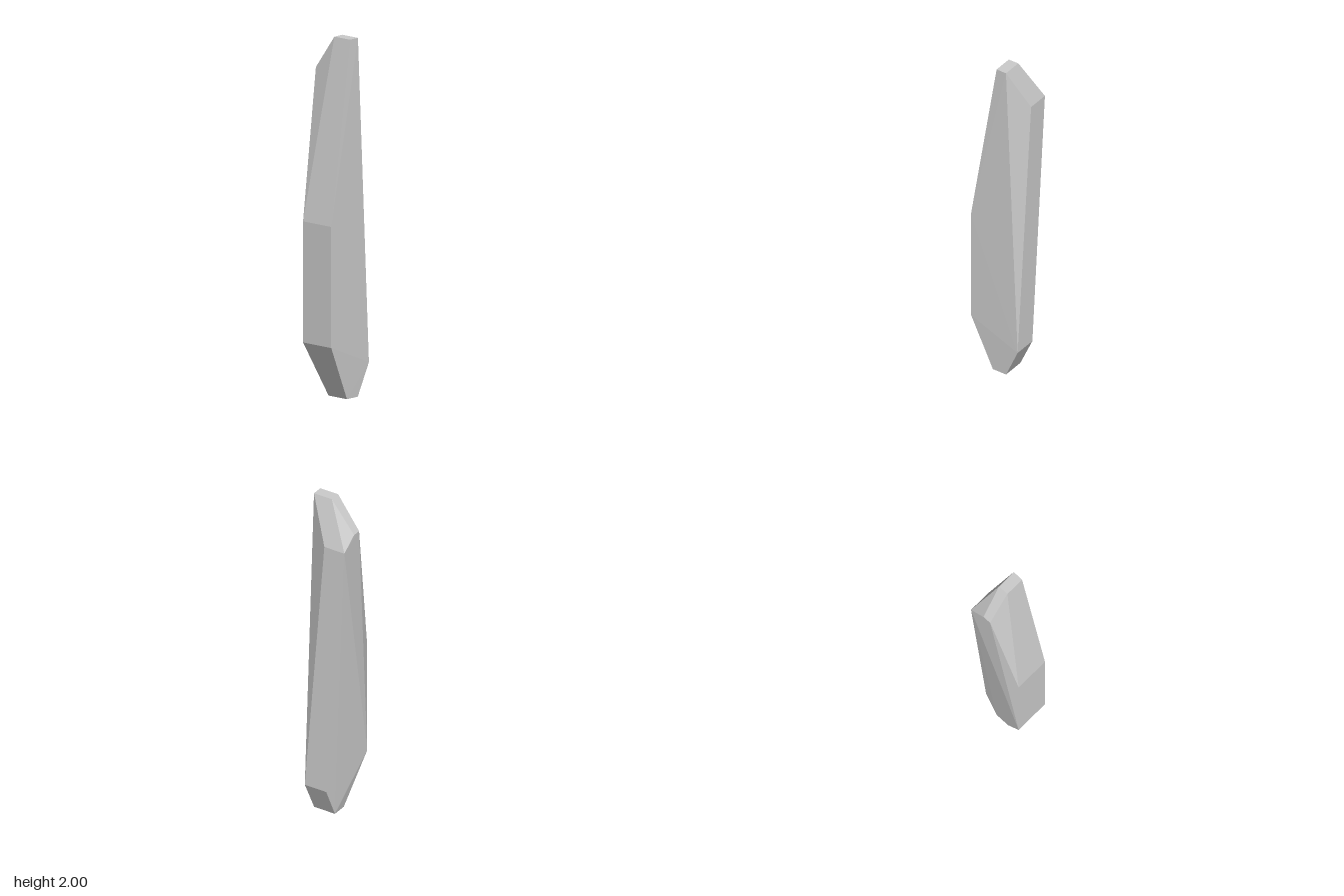
import * as THREE from 'three';
import { ConvexGeometry } from 'three/addons/geometries/ConvexGeometry.js';

export function createModel() {
  const group = new THREE.Group();
  group.name = 'stoneShard';
  const material = new THREE.MeshStandardMaterial({ color: 0xcccccc, flatShading: true });

  // Each edge runs along x at a given height and depth: [xRight, xLeft, y, z]
  const edges = [
    [-0.015, 0.12, 0, 0.015],     // base, front
    [-0.015, 0.12, 0, -0.073],    // base, back
    [-0.077, 0.13, 0.31, 0.153],  // front face, lower
    [-0.077, 0.13, 0.985, 0.153], // front face, upper
    [-0.012, 0.127, 0.18, -0.155], // back face, lower
    [-0.13, 0, 1.74, -0.155],     // back face, upper
    [0.005, 0.12, 2, -0.01],      // tip, front
    [0.005, 0.121, 2, -0.073],    // tip, back
  ];
  const corners = edges.flatMap(([a, b, y, z]) => [
    new THREE.Vector3(a, y, z),
    new THREE.Vector3(b, y, z),
  ]);
  // Shoulder on the slanted side
  for (const z of [-0.01, -0.06]) corners.push(new THREE.Vector3(-0.131, 1.81, z));

  const shard = new THREE.Mesh(new ConvexGeometry(corners), material);
  shard.name = 'shard';
  group.add(shard);
  return group;
}
